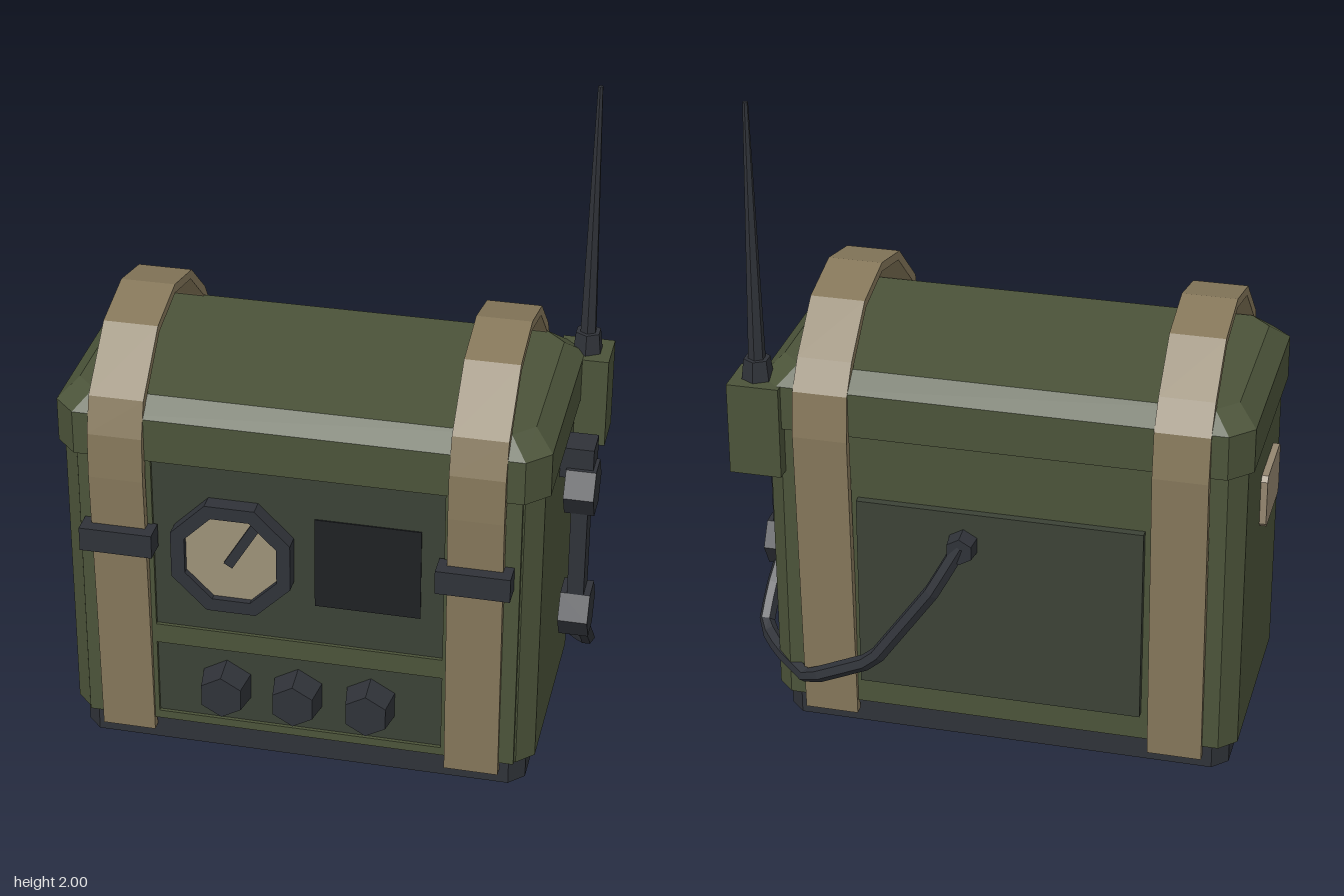
import * as THREE from 'three';

const material = (color) => new THREE.MeshStandardMaterial({ color, flatShading: true, side: THREE.DoubleSide });
const green = material(0x4b5339);
const panelGreen = material(0x3b4236);
const dark = material(0x2f3238);
const black = material(0x1e2023);
const canvas = material(0x85775a);
const cream = material(0x9c9178);
const tan = material(0x94866f);

export function createModel() {
  const model = new THREE.Group();

  const add = (name, geometry, mat, x = 0, y = 0, z = 0) => {
    const mesh = new THREE.Mesh(geometry, mat);
    mesh.name = name;
    mesh.position.set(x, y, z);
    model.add(mesh);
    return mesh;
  };

  // box given by its min and max on each axis
  const block = (name, mat, [x0, x1], [y0, y1], [z0, z1]) =>
    add(name, new THREE.BoxGeometry(x1 - x0, y1 - y0, z1 - z0), mat, (x0 + x1) / 2, (y0 + y1) / 2, (z0 + z1) / 2);

  // stack of corner-cut rectangles, each [y, half width, half depth, corner cut]
  const loft = (layers) => {
    const rings = layers.map(([y, w, d, c]) => [
      [w, d - c], [w, c - d], [w - c, -d], [c - w, -d],
      [-w, c - d], [-w, d - c], [c - w, d], [w - c, d],
    ].map(([x, z]) => [x, y, z]));
    const index = [];
    for (let r = 0; r < rings.length - 1; r++) {
      for (let i = 0; i < 8; i++) {
        const a = r * 8 + i, b = r * 8 + (i + 1) % 8;
        index.push(a, b, b + 8, a, b + 8, a + 8);
      }
    }
    const top = (rings.length - 1) * 8;
    for (let i = 1; i < 7; i++) index.push(0, i + 1, i, top, top + i, top + i + 1);
    const geometry = new THREE.BufferGeometry();
    geometry.setAttribute('position', new THREE.Float32BufferAttribute(rings.flat(2), 3));
    geometry.setIndex(index);
    geometry.computeVertexNormals();
    return geometry;
  };

  // case
  add('base', loft([[0, 0.685, 0.33, 0.045], [0.09, 0.685, 0.33, 0.045]]), dark, -0.047, 0, 0.018);
  add('body', loft([[0.09, 0.713, 0.351, 0.05], [1.01, 0.713, 0.351, 0.05]]), green, -0.047, 0, 0.009);
  add('lid', loft([[1.01, 0.73, 0.376, 0.066], [1.147, 0.73, 0.376, 0.066], [1.2, 0.673, 0.317, 0.06]]), green, -0.047, 0, 0.01);

  // front plate with two sunken panels
  const rect = (x0, x1, y0, y1) => [[x0, y0], [x1, y0], [x1, y1], [x0, y1]].map((p) => new THREE.Vector2(...p));
  const plate = new THREE.Shape(rect(-0.705, 0.611, 0.09, 1.01));
  const panels = [[-0.484, 0.389, 0.435, 1.004], [-0.484, 0.389, 0.117, 0.37]];
  for (const [x0, x1, y0, y1] of panels) {
    plate.holes.push(new THREE.Path(rect(x0, x1, y0, y1)));
    block('frontPanel', panelGreen, [x0, x1], [y0, y1], [0.35, 0.363]);
  }
  add('frontPlate', new THREE.ExtrudeGeometry(plate, { depth: 0.016, bevelEnabled: false }), green, 0, 0, 0.358);
  block('speakerScreen', black, [0.003, 0.32], [0.567, 0.865], [0.35, 0.367]);

  // dial: octagonal rim, face and needle
  const rimProfile = [[0.195, 0], [0.195, 0.055], [0.15, 0.055], [0.15, 0.01]].map((p) => new THREE.Vector2(...p));
  add('dialRim', new THREE.LatheGeometry(rimProfile, 8, Math.PI / 8).rotateX(Math.PI / 2), dark, -0.24, 0.716, 0.358);
  add('dialFace', new THREE.CylinderGeometry(0.152, 0.152, 0.03, 8, 1, false, Math.PI / 8).rotateX(Math.PI / 2), cream, -0.24, 0.716, 0.378);
  add('dialNeedle', new THREE.BoxGeometry(0.03, 0.165, 0.012), dark, -0.207, 0.765, 0.398).rotation.z = -0.54;

  // control knobs
  for (const x of [-0.27, -0.05, 0.173]) {
    add('knob', new THREE.CylinderGeometry(0.07, 0.085, 0.085, 6).rotateX(Math.PI / 2), dark, x, 0.244, 0.4);
  }

  // back panel and side label
  block('backPanel', panelGreen, [-0.475, 0.385], [0.18, 0.8], [-0.367, -0.33]);
  const label = new THREE.Shape();
  label.moveTo(-0.105, -0.085).lineTo(0.105, -0.085).lineTo(0.12, -0.07).lineTo(0.12, 0.07)
    .lineTo(0.105, 0.085).lineTo(-0.105, 0.085).lineTo(-0.12, 0.07).lineTo(-0.12, -0.07);
  add('sideLabel', new THREE.ExtrudeGeometry(label, { depth: 0.025, bevelEnabled: false }).rotateY(-Math.PI / 2),
    tan, -0.755, 0.768, 0.08);

  // straps: outer path as (z, y), thickened inwards and extruded across x
  const outer = [[0.382, 0.05], [0.394, 0.5], [0.411, 0.95], [0.405, 1.09], [0.372, 1.2], [0.2, 1.355], [0.013, 1.397],
    [-0.17, 1.355], [-0.315, 1.225], [-0.372, 1.14], [-0.388, 1.0], [-0.37, 0.5], [-0.354, 0.05]]
    .map(([z, y]) => new THREE.Vector2(-z, y));
  const inner = outer.map((p, i) => {
    const t = outer[Math.min(i + 1, outer.length - 1)].clone().sub(outer[Math.max(i - 1, 0)]).normalize();
    return new THREE.Vector2(p.x + t.y * 0.028, p.y - t.x * 0.028);
  });
  const strapShape = new THREE.Shape([...outer, ...inner.reverse()]);
  for (const x of [-0.662, 0.402]) {
    add('strap', new THREE.ExtrudeGeometry(strapShape, { depth: 0.164, bevelEnabled: false }).rotateY(Math.PI / 2), canvas, x);
    block('buckle', dark, [x - 0.028, x + 0.192], [0.712, 0.788], [0.37, 0.442]);
  }

  // antenna
  block('antennaMount', green, [0.605, 0.762], [0.86, 1.147], [-0.388, -0.245]);
  add('antennaCollar', new THREE.CylinderGeometry(0.04, 0.048, 0.065, 6), dark, 0.688, 1.178, -0.317);
  add('antennaRod', new THREE.CylinderGeometry(0.008, 0.026, 0.8, 6), dark, 0.688, 1.6, -0.317);

  // handset
  block('handsetBracket', dark, [0.655, 0.765], [0.9, 1.0], [-0.067, 0.03]);
  block('handsetGrip', dark, [0.706, 0.756], [0.43, 0.86], [-0.043, 0.043]);
  for (const y of [0.86, 0.43]) {
    add('handsetCup', new THREE.CylinderGeometry(0.085, 0.085, 0.09, 6).rotateZ(Math.PI / 2), dark, 0.731, y, 0);
  }

  // cord from the handset round to the back socket
  const points = [[0.73, 0.4, -0.01], [0.75, 0.29, -0.09], [0.75, 0.205, -0.17], [0.67, 0.185, -0.27],
    [0.55, 0.17, -0.375], [0.33, 0.29, -0.42], [0.14, 0.56, -0.42], [0.06, 0.71, -0.4]]
    .map((p) => new THREE.Vector3(...p));
  const cord = new THREE.CurvePath();
  for (let i = 0; i < points.length - 1; i++) cord.add(new THREE.LineCurve3(points[i], points[i + 1]));
  add('cord', new THREE.TubeGeometry(cord, 22, 0.025, 6), dark);
  add('cordSocket', new THREE.CylinderGeometry(0.05, 0.042, 0.07, 6).rotateX(Math.PI / 2), dark, 0.06, 0.7, -0.385);

  return model;
}
